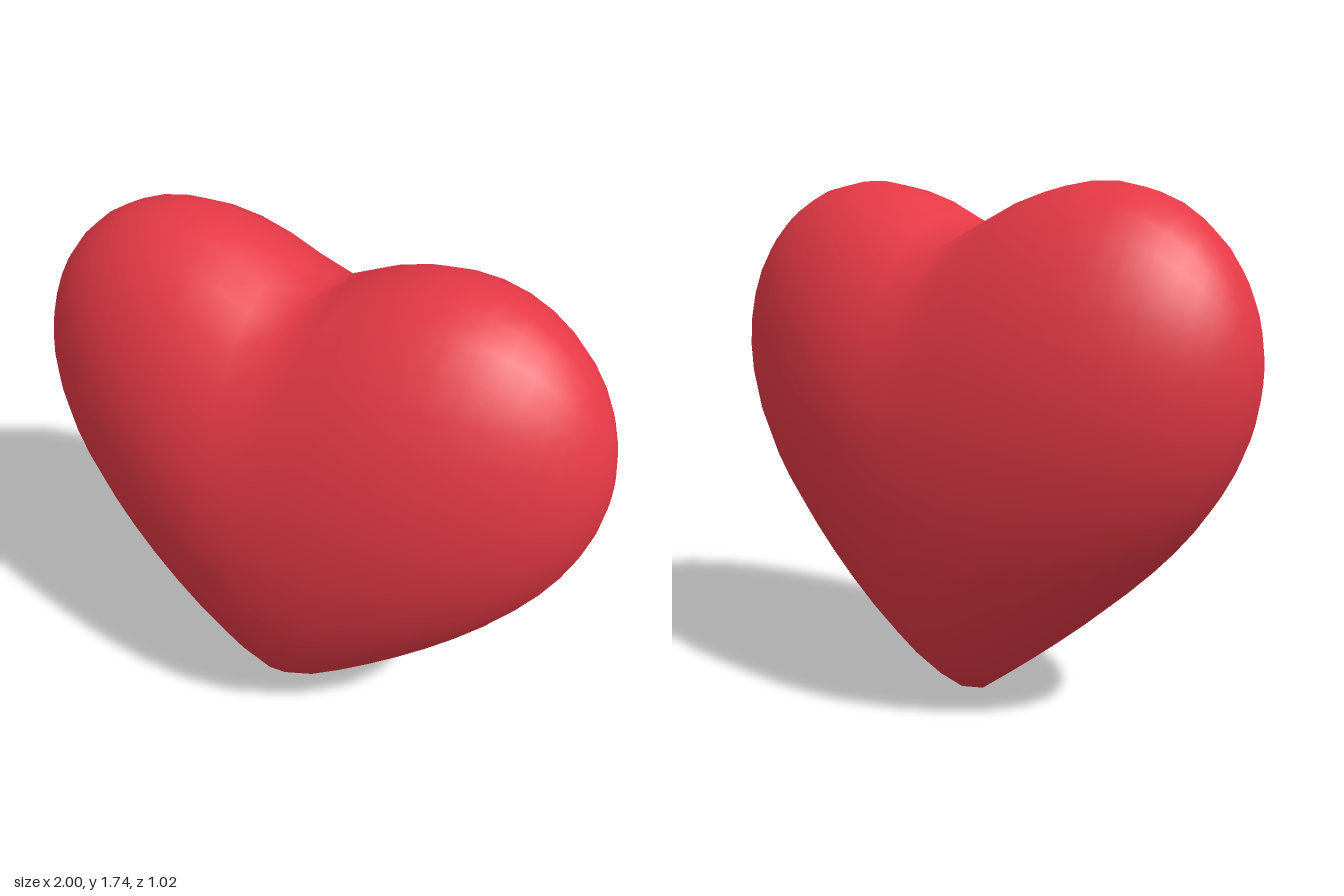
import * as THREE from 'three';
import { mergeVertices } from 'three/addons/utils/BufferGeometryUtils.js';

const HALF_HEIGHT = 0.785;
const HALF_DEPTH = 0.51;

// How far a point is lifted: rises steeply beside the middle, then levels off.
// The depth term softens the fold towards the front and back faces.
function lift(x, z) {
  const s = Math.sqrt(x * x + 0.075 * z * z);
  return 0.71 * s - 0.3 * s * s;
}

// Ellipsoid with poles at the left and right, so one ring lies on the middle fold
function heartGeometry() {
  let geometry = new THREE.SphereGeometry(1, 28, 28).rotateZ(Math.PI / 2);
  geometry.deleteAttribute('normal');
  geometry.deleteAttribute('uv');
  geometry = mergeVertices(geometry, 1e-4);
  const p = geometry.attributes.position;
  for (let i = 0; i < p.count; i++) {
    const x = p.getX(i);
    const z = p.getZ(i) * HALF_DEPTH;
    const y = HALF_HEIGHT * (1 + p.getY(i)) + lift(x, z);
    p.setXYZ(i, x, y, z);
  }
  geometry.computeVertexNormals();
  return geometry;
}

export function createModel() {
  const group = new THREE.Group();
  const material = new THREE.MeshStandardMaterial({ color: 0xe63946 });
  const heart = new THREE.Mesh(heartGeometry(), material);
  heart.name = 'heart';
  group.add(heart);
  return group;
}
